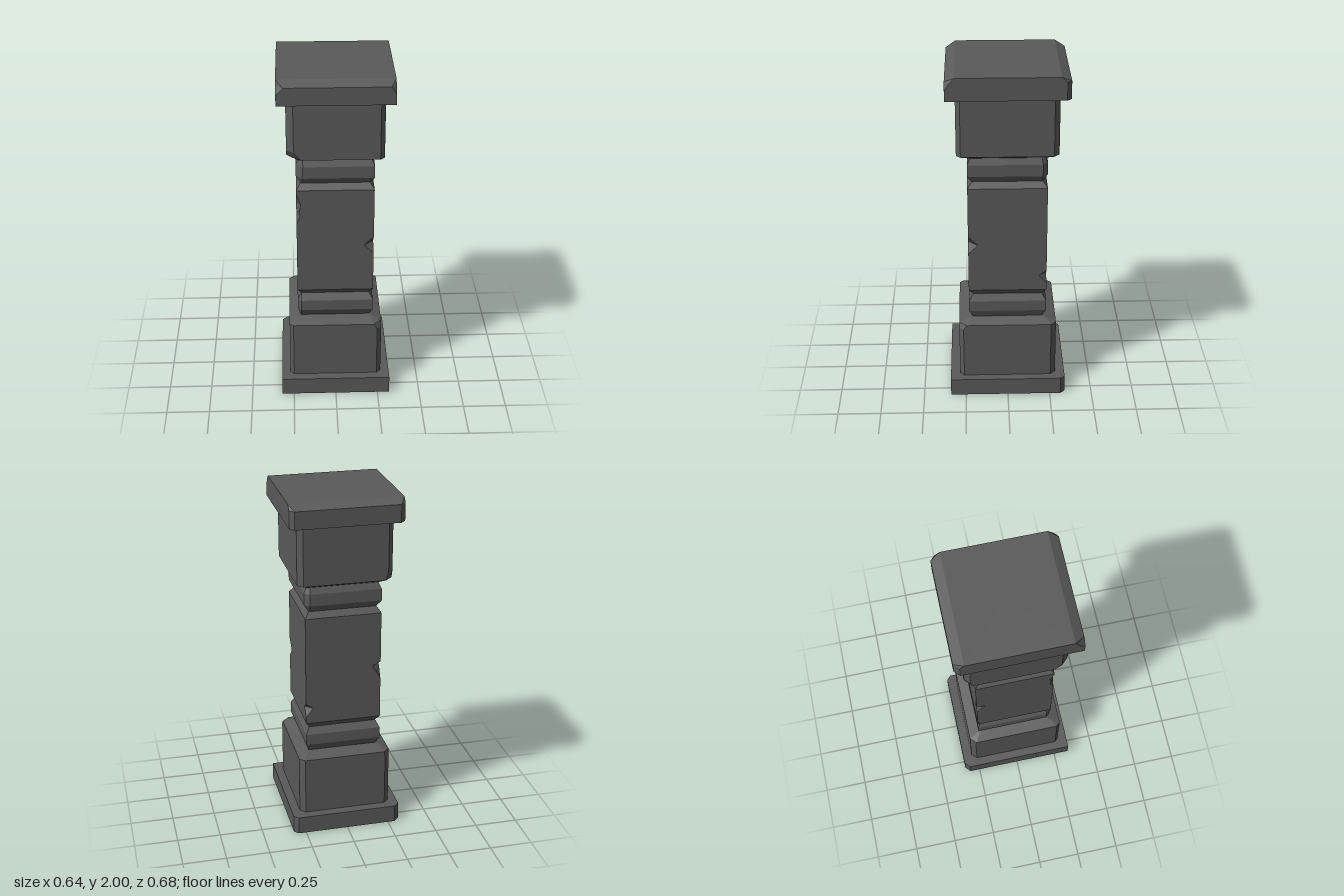
import * as THREE from 'three';

// Corner order used everywhere: front +x, back +x, back -x, front -x
const CORNERS = [[1, 1], [1, -1], [-1, -1], [-1, 1]];

// Rectangle outline whose four corners are cut by c[0..3]
function outline([y, hx, hz, c = [0, 0, 0, 0]]) {
  const pts = [];
  CORNERS.forEach(([sx, sz], i) => {
    const onZ = new THREE.Vector3(sx * (hx - c[i]), y, sz * hz);
    const onX = new THREE.Vector3(sx * hx, y, sz * (hz - c[i]));
    pts.push(...(sx * sz > 0 ? [onZ, onX] : [onX, onZ]));
  });
  return pts;
}

// Closed faceted solid through a stack of levels [y, halfX, halfZ, cornerCuts]
function loft(levels) {
  const pos = [];
  const e1 = new THREE.Vector3(), e2 = new THREE.Vector3();
  const tri = (a, b, c) => {
    e1.subVectors(b, a);
    e2.subVectors(c, a);
    if (e1.cross(e2).lengthSq() < 1e-14) return;
    for (const p of [a, b, c]) pos.push(p.x, p.y, p.z);
  };
  const rings = levels.map(outline);
  const last = rings.length - 1;
  const bottom = new THREE.Vector3(0, levels[0][0], 0);
  const top = new THREE.Vector3(0, levels[last][0], 0);
  for (let i = 0; i < 8; i++) {
    const j = (i + 1) % 8;
    for (let k = 0; k < last; k++) {
      const lo = rings[k], up = rings[k + 1];
      tri(lo[i], lo[j], up[j]);
      tri(lo[i], up[j], up[i]);
    }
    tri(bottom, rings[0][j], rings[0][i]);
    tri(top, rings[last][i], rings[last][j]);
  }
  const geo = new THREE.BufferGeometry();
  geo.setAttribute('position', new THREE.Float32BufferAttribute(pos, 3));
  geo.computeVertexNormals();
  return geo;
}

export function createModel() {
  const group = new THREE.Group();
  const stone = new THREE.MeshStandardMaterial({ color: 0x5a5a5a, flatShading: true });
  stone.name = 'dark stone';
  const add = (name, levels) => {
    const mesh = new THREE.Mesh(loft(levels), stone);
    mesh.name = name;
    group.add(mesh);
  };

  // Foot slab, worn at the two back corners
  const slabCut = [0, 0.025, 0.03, 0];
  add('footSlab', [[0, 0.32, 0.34, slabCut], [0.105, 0.32, 0.34, slabCut]]);

  // Lower block with a bevelled shoulder
  const lowCut = [0.025, 0.03, 0.03, 0.022];
  add('lowerBlock', [
    [0.105, 0.27, 0.285, lowCut],
    [0.42, 0.27, 0.285, lowCut],
    [0.45, 0.27, 0.285, [0.045, 0.03, 0.035, 0.022]],
    [0.475, 0.21, 0.215],
  ]);

  // Lower moulding
  const ringCut = [0, 0, 0, 0.022];
  add('lowerRing', [
    [0.47, 0.2, 0.2],
    [0.52, 0.22, 0.226, ringCut],
    [0.585, 0.22, 0.226, ringCut],
    [0.625, 0.198, 0.2],
  ]);

  // Shaft with a chipped dent on each corner edge
  add('shaft', [
    [0.625, 0.195, 0.2],
    [0.66, 0.22, 0.226],
    [0.7, 0.22, 0.226],
    [0.755, 0.22, 0.226, [0, 0.042, 0, 0]],
    [0.785, 0.22, 0.226],
    [0.9, 0.22, 0.226],
    [0.955, 0.22, 0.226, [0.056, 0, 0.028, 0]],
    [0.985, 0.22, 0.226, [0.026, 0, 0.05, 0]],
    [1.01, 0.22, 0.226],
    [1.1, 0.22, 0.226],
    [1.15, 0.22, 0.226, [0, 0, 0, 0.022]],
    [1.18, 0.22, 0.226, [0, 0, 0, 0.016]],
    [1.22, 0.22, 0.226, [0, 0, 0, 0.025]],
    [1.29, 0.22, 0.226],
    [1.31, 0.22, 0.226],
    [1.345, 0.195, 0.2],
  ]);

  // Upper moulding
  add('upperRing', [
    [1.345, 0.195, 0.2, [0, 0.01, 0, 0.01]],
    [1.385, 0.22, 0.226, [0, 0.028, 0, 0.035]],
    [1.455, 0.22, 0.226, [0, 0.028, 0, 0.04]],
    [1.5, 0.2, 0.205, [0, 0.015, 0, 0.02]],
  ]);

  // Upper block, chipped at its lower front corner
  const upCut = [0.025, 0.03, 0.03, 0.04];
  add('upperBlock', [
    [1.492, 0.205, 0.212],
    [1.525, 0.27, 0.285, [0.025, 0.03, 0.045, 0.08]],
    [1.57, 0.27, 0.285, upCut],
    [1.87, 0.27, 0.285, upCut],
  ]);

  // Cap slab, sloped along front and back only
  add('capSlab', [
    [1.87, 0.32, 0.34, [0, 0.025, 0.03, 0]],
    [1.93, 0.32, 0.34, [0, 0.025, 0.03, 0]],
    [1.972, 0.32, 0.34, [0.028, 0.025, 0.03, 0.04]],
    [2, 0.32, 0.285],
  ]);

  return group;
}
